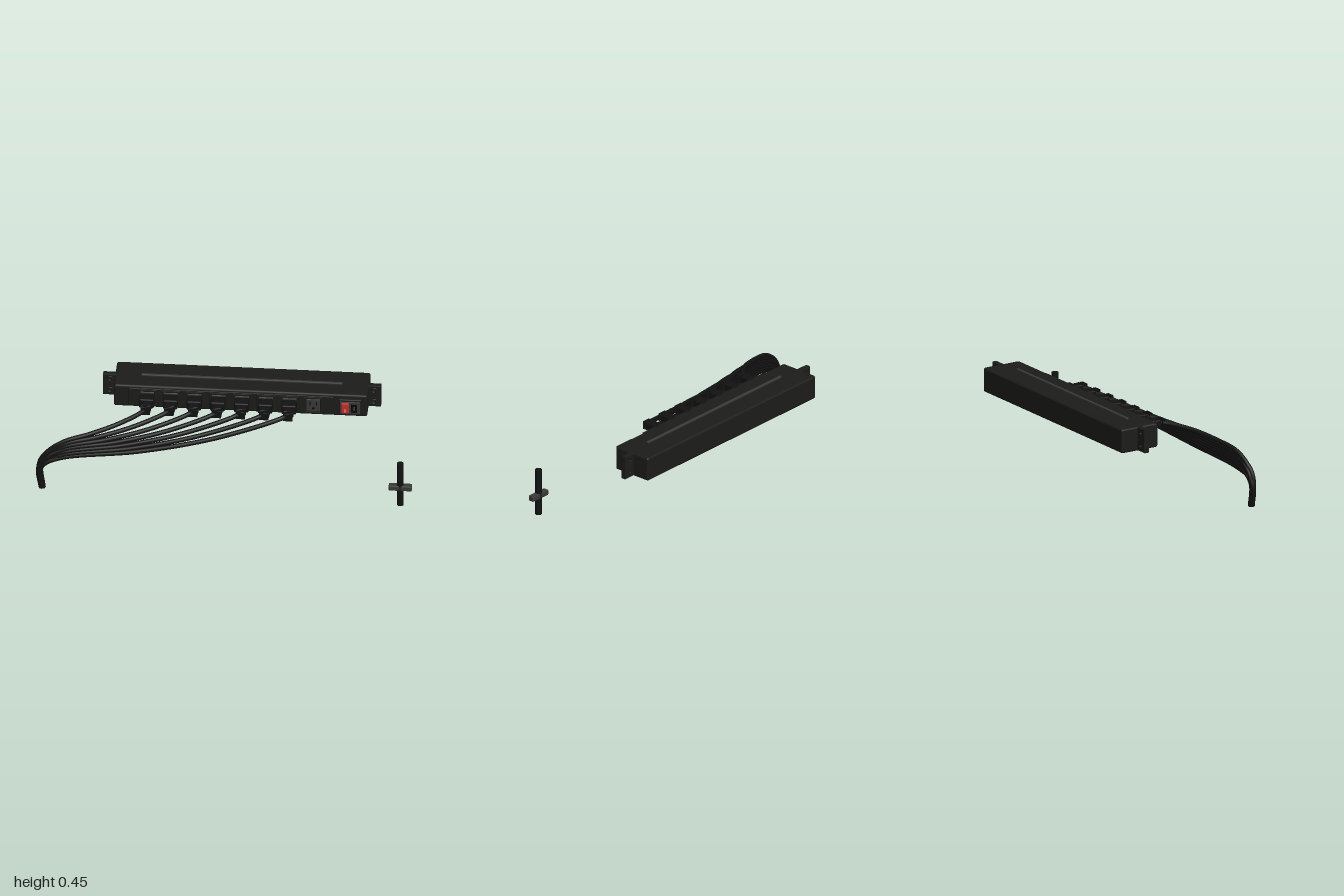
import * as THREE from 'three';
import { RoundedBoxGeometry } from 'three/addons/geometries/RoundedBoxGeometry.js';

const mat = (color) => new THREE.MeshStandardMaterial({ color });
const black = mat(0x1c1c1a), rubber = mat(0x121213), grey = mat(0x383838), dark = mat(0x080808);
const red = mat(0xc8322a), white = mat(0xd8d8d8);

function add(parent, name, geometry, material, x = 0, y = 0, z = 0) {
  const mesh = new THREE.Mesh(geometry, material);
  mesh.name = name;
  mesh.position.set(x, y, z);
  parent.add(mesh);
  return mesh;
}
const box = (w, h, d) => new THREE.BoxGeometry(w, h, d);
const soft = (w, h, d, r) => new RoundedBoxGeometry(w, h, d, 3, r);
const group = (parent, name, x = 0, y = 0, z = 0) => {
  const g = new THREE.Group();
  g.name = name;
  g.position.set(x, y, z);
  parent.add(g);
  return g;
};

// rectangular plate with holes, extruded along z and centred in depth
function plate(w, h, d, holes, bevel = 0) {
  const a = w / 2 - bevel, b = h / 2 - bevel;
  const s = new THREE.Shape([[-a, -b], [a, -b], [a, b], [-a, b]].map((p) => new THREE.Vector2(...p)));
  s.holes = holes;
  const g = new THREE.ExtrudeGeometry(s, {
    depth: d - 2 * bevel, bevelEnabled: bevel > 0, bevelSize: bevel, bevelThickness: bevel, bevelSegments: 2,
  });
  return g.translate(0, 0, -d / 2 + bevel);
}
const rectHole = (w, h) => new THREE.Path([[-w, -h], [-w, h], [w, h], [w, -h]].map(([x, y]) => new THREE.Vector2(x / 2, y / 2)));
const roundHole = (x, y, r) => new THREE.Path().absarc(x, y, r, 0, Math.PI * 2, true);

// outlet with two blade slots and a ground hole
function makeOutlet(parent, x) {
  const g = group(parent, 'outlet', x, 0.375, -0.066);
  add(g, 'outletFrame', plate(0.098, 0.104, 0.02, [rectHole(0.08, 0.084)], 0.003), black);
  add(g, 'outletFace', soft(0.078, 0.076, 0.016, 0.005), grey);
  for (const s of [-1, 1]) add(g, 'bladeSlot', box(0.006, 0.022, 0.003), dark, s * 0.018, 0.012, 0.0075);
  const ground = add(g, 'groundHole', new THREE.CylinderGeometry(0.007, 0.007, 0.003, 16), dark, 0, -0.018, 0.0075);
  ground.rotation.x = Math.PI / 2;
}

// plug with a stepped body and strain-relief rings
function makePlug(parent, x) {
  const g = group(parent, 'plug', x, 0.376, 0);
  add(g, 'plugHead', soft(0.078, 0.056, 0.066, 0.008), rubber, 0, 0, -0.03);
  add(g, 'plugNeck', soft(0.056, 0.042, 0.054, 0.007), rubber, 0, 0, 0.018);
  for (const z of [0.047, 0.058, 0.07]) add(g, 'reliefRing', soft(0.05, 0.046, 0.004, 0.0015), rubber, 0, 0, z);
}

// cable sweeping from a plug to the shared bundle; t runs 0 to 1 across the plugs
function makeCable(parent, x, t, i) {
  const end = -0.86, span = x - end;
  const a = i * 2.4, ox = Math.cos(a) * 0.007, oz = Math.sin(a) * 0.006;
  const drop = (near, far) => near + (far - near) * t;
  const pts = [
    [x, 0.376, 0.03],
    [x - 0.01 - 0.01 * t, 0.374, 0.065],
    [x - span * 0.32, drop(0.352, 0.292), drop(0.165, 0.172)],
    [x - span * 0.66, drop(0.322, 0.232), drop(0.228, 0.24)],
    [end, drop(0.288, 0.195), drop(0.266, 0.274)],
    [-0.955 + ox, drop(0.225, 0.16), 0.281 + oz],
    [-0.985 + ox, drop(0.15, 0.115), 0.285 + oz],
    [-0.972 + ox, 0.01, 0.286 + oz],
  ].map((p) => new THREE.Vector3(...p));
  const curve = new THREE.CatmullRomCurve3(pts, false, 'centripetal');
  add(parent, 'cable', new THREE.TubeGeometry(curve, 72, 0.0125, 10), rubber);
  // closed free end
  const tip = add(parent, 'cableEnd', new THREE.SphereGeometry(0.0125, 10, 6), rubber);
  tip.position.copy(pts[7]);
  tip.scale.y = 0.5;
}

export function createModel() {
  const model = new THREE.Group();
  model.name = 'powerStrip';

  // housing
  add(model, 'housing', soft(1.35, 0.134, 0.23, 0.012), black, 0.055, 0.372, -0.19);
  add(model, 'frontPanel', soft(1.09, 0.112, 0.014, 0.004), black, 0.005, 0.373, -0.073);
  for (const s of [-1, 1]) {
    add(model, 'housingRib', soft(1.07, 0.012, 0.016, 0.004), grey, 0.055, 0.372 + s * 0.071, -0.178);
  }

  // mounting ears with screw holes
  for (const s of [-1, 1]) {
    const ear = group(model, 'mountingEar', 0.055 + s * 0.703, 0.373, -0.19);
    add(ear, 'earPlate', plate(0.074, 0.13, 0.03, [roundHole(0, 0.037, 0.01), roundHole(0, -0.033, 0.01)], 0.004), black);
    for (const y of [0.037, -0.033]) add(ear, 'holeRim', new THREE.TorusGeometry(0.013, 0.004, 8, 20), black, 0, y, 0.015);
  }

  // outlets, plugs and cables
  for (let i = 0; i < 8; i++) {
    const x = -0.44 + i * 0.1263;
    makeOutlet(model, x);
    if (i < 7) {
      makePlug(model, x);
      makeCable(model, x, i / 6, i);
    }
  }

  // power switch
  const power = group(model, 'powerSwitch', 0.64, 0.373, -0.066);
  add(power, 'switchFrame', soft(0.12, 0.1, 0.026, 0.006), black);
  add(power, 'switchPlate', soft(0.108, 0.076, 0.01, 0.004), grey, 0, 0, 0.011);
  const rocker = add(power, 'rocker', soft(0.04, 0.066, 0.022, 0.004), red, -0.026, 0, 0.012);
  rocker.rotation.x = 0.08;
  add(power, 'rockerMark', box(0.005, 0.018, 0.002), white, -0.026, -0.014, 0.0235);
  add(power, 'indicatorFrame', soft(0.034, 0.056, 0.012, 0.004), dark, 0.022, 0, 0.013);
  add(power, 'indicator', soft(0.01, 0.026, 0.006, 0.002), grey, 0.022, 0, 0.018);

  // separate cable piece with its clamp
  const piece = group(model, 'cablePiece', 0.936, 0, 0.287);
  add(piece, 'cableStub', new THREE.CylinderGeometry(0.018, 0.018, 0.262, 20), rubber, 0, 0.131, 0);
  add(piece, 'clamp', soft(0.124, 0.031, 0.035, 0.006), grey, 0, 0.11, 0);

  return model;
}
